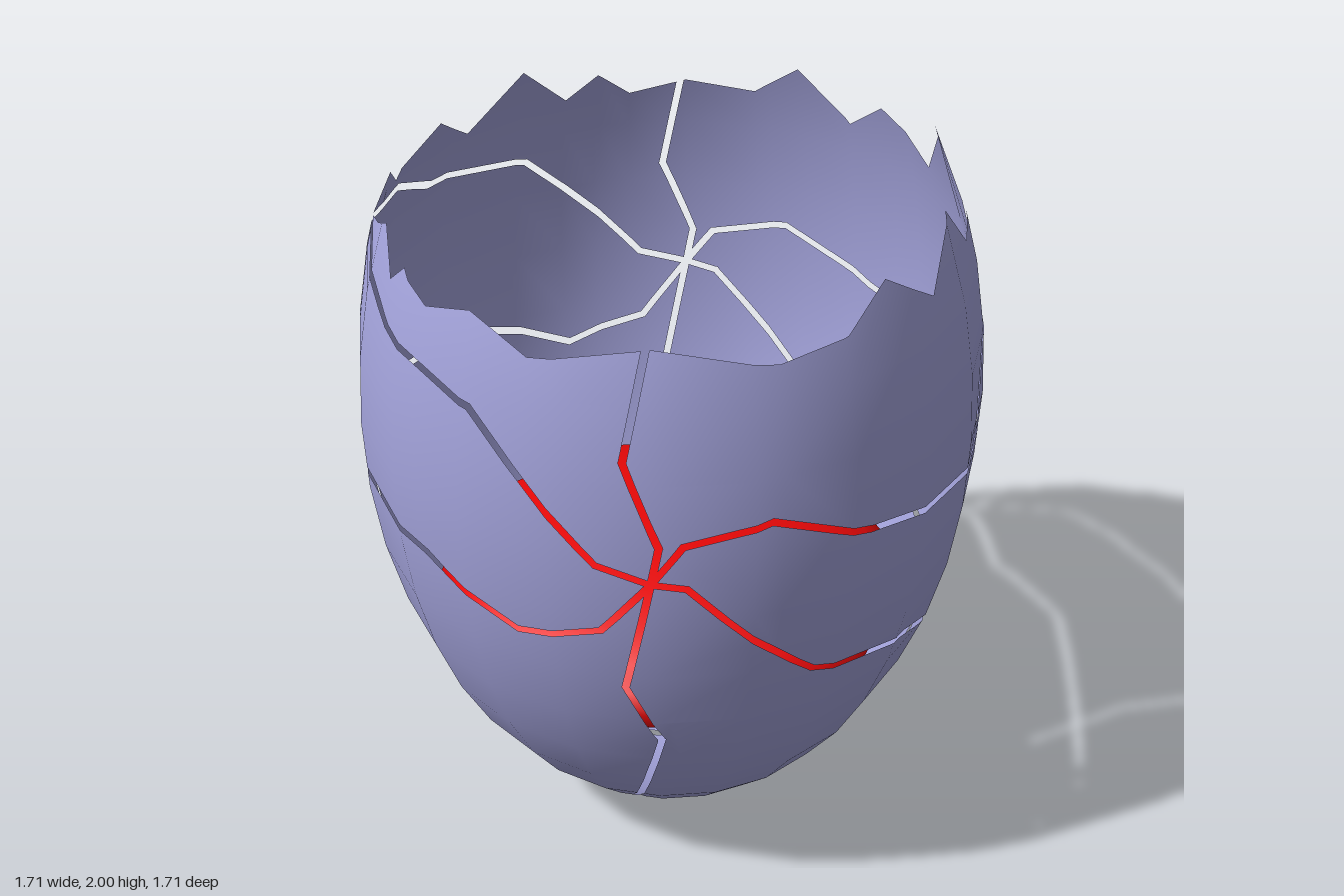
import * as THREE from 'three';

const R = 0.853, H = 1.3, CRACK = 0.019, STEP = 18, EPS = 1e-6;
const SKEW = 0.015; // the side crack runs slightly off square

// jagged rim: [degrees from the front towards +x, height]
const RIM = [
  [-180, 1.85], [-168, 1.81], [-161, 1.88], [-154, 1.81], [-143, 1.94], [-130, 1.79], [-120, 1.88], [-105, 1.79],
  [-97, 1.87], [-90, 1.79], [-78, 1.85], [-70, 1.9], [-62, 1.8], [-57, 1.86], [-48, 1.81], [-36, 1.86], [-23, 1.79],
  [0, 1.85], [23, 1.79], [37, 1.82], [48, 1.91], [61, 1.8], [74, 1.95], [84, 1.8], [90, 1.84], [105, 2.0],
  [118, 1.79], [132, 1.9], [143, 1.79], [154, 1.94], [165, 1.83], [180, 1.85],
];

// cracks cut straight through from front to back, as (x, y)
const FRONT_CRACKS = [
  [[-0.01, 2.05], [-0.015, 1.85], [-0.07, 1.56], [0.02, 1.33], [0, 1.22], [-0.07, 0.85], [0.02, 0.63], [-0.02, 0.43], [-0.07, 0.17], [0, 0], [0, -0.05]],
  [[-0.9, 1.88], [-0.79, 1.78], [-0.7, 1.68], [-0.46, 1.62], [-0.14, 1.26], [0, 1.22]],
  [[-0.9, 1.17], [-0.6, 1.11], [-0.35, 0.99], [-0.13, 1.05], [0, 1.22]],
  [[0, 1.22], [0.08, 1.33], [0.3, 1.38], [0.55, 1.27], [0.85, 1.2], [0.95, 1.18]],
  [[0, 1.22], [0.09, 1.2], [0.41, 0.85], [0.65, 0.78], [0.74, 0.68], [0.82, 0.57]],
];
// crack cut through from side to side, as (z, y)
const SIDE_CRACK = [[-0.01, 2.05], [-0.005, 1.85], [0.012, 1.53], [0.139, 1.31], [0.122, 1.15], [0.062, 0.82], [0.13, 0.57], [0.083, 0.43], [-0.072, 0.12], [-0.075, -0.05]];

const rad = THREE.MathUtils.degToRad;

function rimHeight(a) {
  const i = Math.max(1, RIM.findIndex((p) => p[0] >= a));
  const [a0, h0] = RIM[i - 1], [a1, h1] = RIM[i];
  return h0 + (h1 - h0) * (a - a0) / (a1 - a0);
}

// point of the egg surface, on the chords of a 20-sided ring
function shellPoint(a, y) {
  const off = ((a + 360) % STEP) - STEP / 2;
  const r = R * Math.sqrt(Math.max(0, 1 - ((y - H) / H) ** 2)) * Math.cos(rad(STEP / 2)) / Math.cos(rad(off));
  return new THREE.Vector3(Math.sin(rad(a)) * r, y, Math.cos(rad(a)) * r);
}

// the thin wall as a grid of quads, the top row ending in the jagged rim
function shellQuads() {
  const angles = new Set(RIM.map((p) => p[0]));
  for (let a = -180; a <= 180; a += STEP) angles.add(a);
  const cols = [...angles].sort((a, b) => a - b);
  const rings = 13, quads = [];
  const level = (j, a) => (j === rings ? rimHeight(a) : H * (1 - Math.cos(rad(9 * j))));
  for (let i = 0; i + 1 < cols.length; i++) {
    for (let j = 0; j < rings; j++) {
      quads.push([[i, j], [i + 1, j], [i + 1, j + 1], [i, j + 1]]
        .map(([c, k]) => shellPoint(cols[c], level(k, cols[c]))));
    }
  }
  return quads;
}

// the part of a polygon with side * distance <= 0
function clip(poly, plane, side) {
  const out = [];
  poly.forEach((p, i) => {
    const q = poly[(i + 1) % poly.length];
    const dp = side * plane.distanceToPoint(p), dq = side * plane.distanceToPoint(q);
    if (dp <= EPS) out.push(p);
    if ((dp < -EPS && dq > EPS) || (dp > EPS && dq < -EPS)) out.push(p.clone().lerp(q, dp / (dp - dq)));
  });
  return out;
}

// a polygon minus the space inside all planes
function subtract(poly, planes) {
  const kept = [];
  let rest = poly;
  for (const plane of planes) {
    const d = rest.map((p) => plane.distanceToPoint(p));
    if (Math.min(...d) >= -EPS) return [poly];
    if (Math.max(...d) <= EPS) continue;
    kept.push(clip(rest, plane, -1));
    rest = clip(rest, plane, 1);
  }
  return kept;
}

// four planes around each straight stretch of a crack
function crackPlanes(path, toWorld) {
  const list = [];
  for (let i = 0; i + 1 < path.length; i++) {
    const a = new THREE.Vector2(...path[i]), b = new THREE.Vector2(...path[i + 1]);
    const dir = b.clone().sub(a).normalize(), nor = new THREE.Vector2(-dir.y, dir.x);
    const plane = (n, p, extra) => new THREE.Plane(toWorld(n), -n.dot(p) - extra);
    list.push([
      plane(nor, a, CRACK / 2), plane(nor.clone().negate(), a, CRACK / 2),
      plane(dir, b, CRACK / 4), plane(dir.clone().negate(), a, CRACK / 4),
    ]);
  }
  return list;
}

function shellGeometry() {
  let polys = shellQuads();
  const cuts = [
    ...FRONT_CRACKS.flatMap((p) => crackPlanes(p, (n) => new THREE.Vector3(n.x, n.y, 0))),
    ...crackPlanes(SIDE_CRACK, (n) => new THREE.Vector3(n.x * SKEW, n.y, n.x)),
  ];
  for (const planes of cuts) polys = polys.flatMap((p) => subtract(p, planes));

  const pos = [], nor = [];
  for (const poly of polys) {
    for (let i = 1; i + 1 < poly.length; i++) {
      const tri = new THREE.Triangle(poly[0], poly[i], poly[i + 1]);
      if (tri.getArea() < 1e-9) continue;
      for (const p of [tri.a, tri.b, tri.c]) {
        const n = new THREE.Vector3(p.x / (R * R), (p.y - H) / (H * H), p.z / (R * R)).normalize();
        pos.push(p.x, p.y, p.z);
        nor.push(n.x, n.y, n.z);
      }
    }
  }
  const geo = new THREE.BufferGeometry();
  geo.setAttribute('position', new THREE.Float32BufferAttribute(pos, 3));
  geo.setAttribute('normal', new THREE.Float32BufferAttribute(nor, 3));
  return geo;
}

// flattened ball whose every fourth column lies on the chord of its neighbours
function yolkGeometry() {
  const segments = 20;
  const geo = new THREE.SphereGeometry(0.665, segments, 12);
  const pos = geo.attributes.position;
  for (let i = 0; i < pos.count; i++) {
    if (i % (segments + 1) % 4 !== 1) continue;
    const k = Math.cos(rad(STEP));
    pos.setXYZ(i, pos.getX(i) * k, pos.getY(i), pos.getZ(i) * k);
  }
  return geo;
}

export function createModel() {
  const model = new THREE.Group();
  model.name = 'crackedEgg';

  // thin, cracked, open eggshell
  const shell = new THREE.Mesh(
    shellGeometry(),
    new THREE.MeshStandardMaterial({ color: 0xa3a3db, side: THREE.DoubleSide }),
  );
  shell.name = 'eggshell';
  model.add(shell);

  // flattened yolk inside
  const yolk = new THREE.Mesh(yolkGeometry(), new THREE.MeshStandardMaterial({ color: 0xe80808 }));
  yolk.name = 'yolk';
  yolk.scale.y = 0.32;
  yolk.position.y = 0.635;
  model.add(yolk);
  return model;
}
